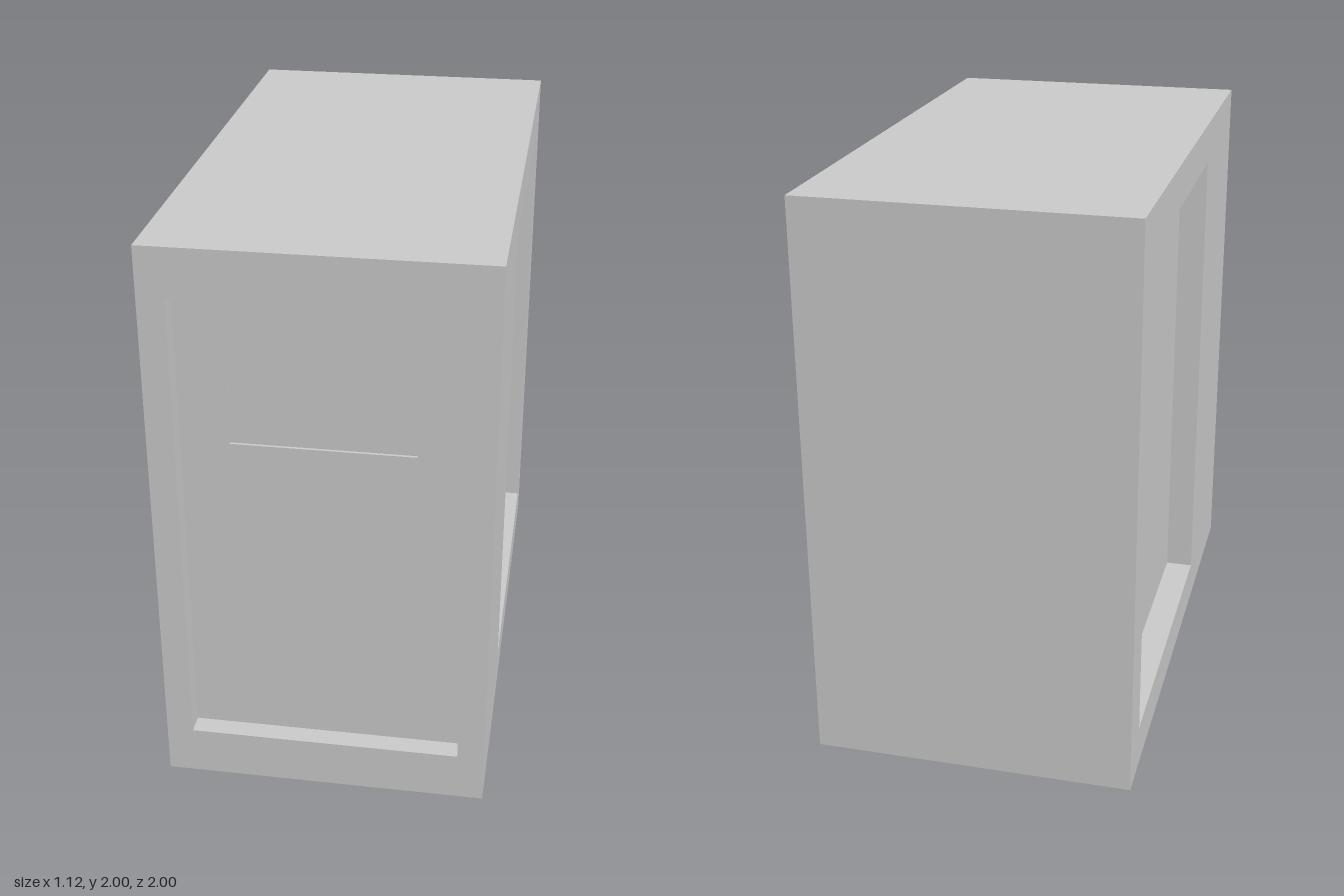
import * as THREE from 'three';

const W = 1.12, H = 2, D = 2; // cabinet width, height, depth
const material = new THREE.MeshStandardMaterial({ color: 0xcccccc });

function addMesh(parent, name, geometry) {
  const mesh = new THREE.Mesh(geometry, material);
  mesh.name = name;
  parent.add(mesh);
  return mesh;
}

// Counter-clockwise corners of a rectangle [x0, x1, y0, y1]
const corners = ([x0, x1, y0, y1]) => [[x0, y0], [x1, y0], [x1, y1], [x0, y1]].map(p => new THREE.Vector2(...p));

// Four inward-facing walls of a recess, from z down to z - depth
function wallGeometry(rect, z, depth) {
  const pts = corners(rect), pos = [];
  pts.forEach((a, i) => {
    const b = pts[(i + 1) % 4], back = z - depth;
    pos.push(a.x, a.y, z, b.x, b.y, z, b.x, b.y, back);
    pos.push(a.x, a.y, z, b.x, b.y, back, a.x, a.y, back);
  });
  const geo = new THREE.BufferGeometry();
  geo.setAttribute('position', new THREE.Float32BufferAttribute(pos, 3));
  geo.computeVertexNormals();
  return geo;
}

// Flat panel facing +z; an optional recess is cut into it, and its floor is a panel too
function addPanel(parent, name, rect, z, recess) {
  const shape = new THREE.Shape(corners(rect));
  if (recess) shape.holes.push(new THREE.Path(corners(recess.rect).reverse()));
  addMesh(parent, name, new THREE.ShapeGeometry(shape)).position.z = z;
  if (!recess) return;
  addMesh(parent, recess.name + 'Walls', wallGeometry(recess.rect, z, recess.depth));
  addPanel(parent, recess.name + 'Floor', recess.rect, z - recess.depth, recess.inner);
}

export function createModel() {
  const model = new THREE.Group();
  model.name = 'cabinet';

  function side(name, w, h, distance, rotX, rotY, recess) {
    const group = new THREE.Group();
    group.name = name;
    group.rotation.set(rotX, rotY, 0);
    // upright panels start at y = 0, top and bottom are centred
    const y0 = rotX ? -h / 2 : 0;
    addPanel(group, name + 'Panel', [-w / 2, w / 2, y0, y0 + h], distance, recess);
    model.add(group);
    return group;
  }

  // Front: door recess with a shallow sunken plate
  side('front', W, H, D / 2, 0, 0, {
    name: 'doorRecess', rect: [-0.468, 0.468, 0.175, 1.83], depth: 0.07,
    inner: { name: 'plateRecess', rect: [-0.304, 0.304, 1.305, 1.6], depth: 0.01 },
  });
  side('back', W, H, D / 2, 0, Math.PI);

  // Left and right sides: tall recess set towards the back
  for (const s of [1, -1]) {
    const xs = [-0.35 * s, 0.85 * s].sort((a, b) => a - b);
    side(s > 0 ? 'left' : 'right', D, H, W / 2, 0, s * Math.PI / 2, {
      name: 'sideRecess', rect: [...xs, 0.15, 1.85], depth: 0.1,
    });
  }

  // Top and bottom
  side('top', W, D, H / 2, -Math.PI / 2, 0).position.y = H / 2;
  side('bottom', W, D, H / 2, Math.PI / 2, 0).position.y = H / 2;

  return model;
}
